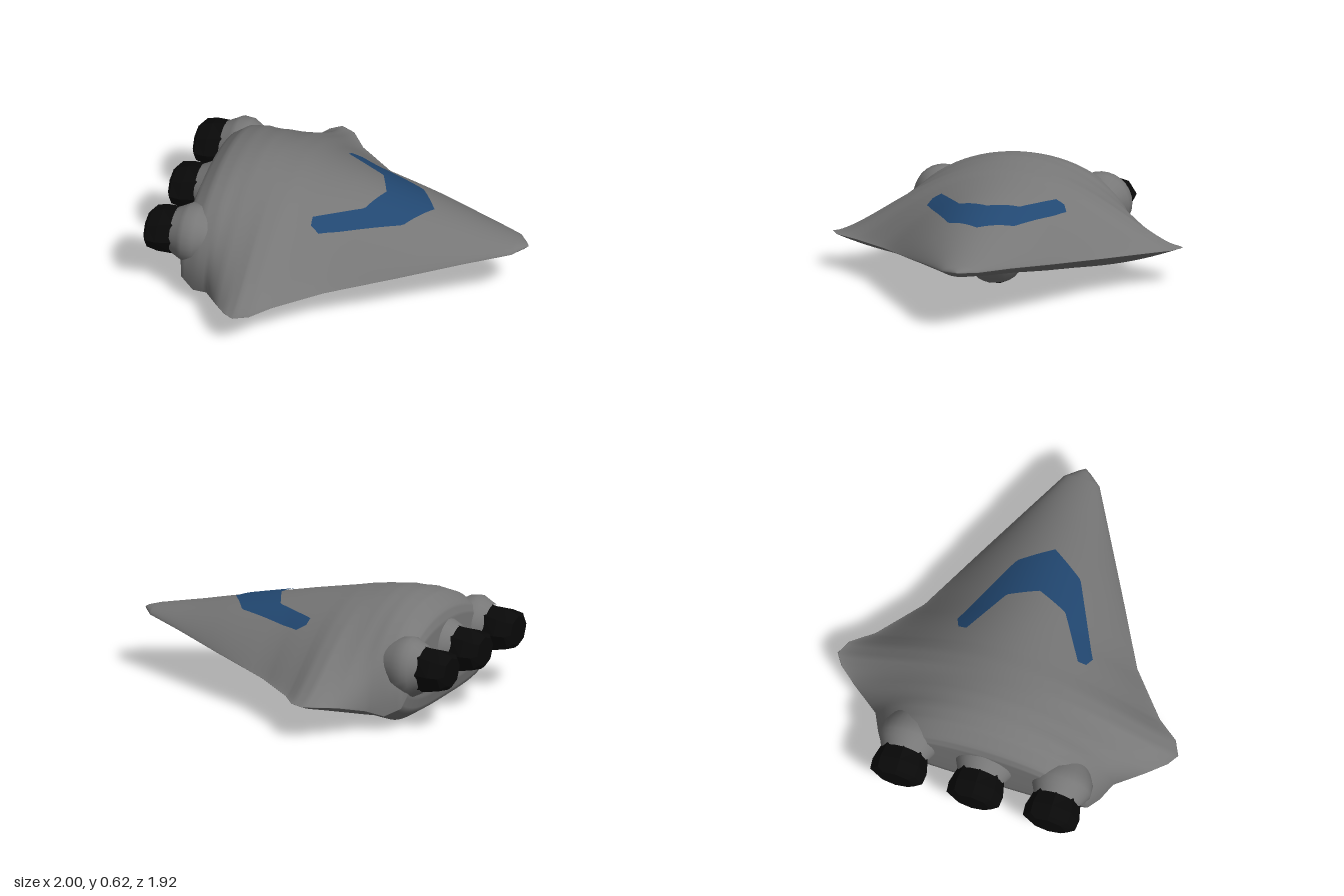
import * as THREE from 'three';

const hullGrey = new THREE.MeshStandardMaterial({ color: 0x777777 });
const windowBlue = new THREE.MeshStandardMaterial({ color: 0x224872 });
const engineBlack = new THREE.MeshStandardMaterial({ color: 0x090909 });

// Hull stations: x, half width, top y, bottom y, edge y, top exponent, bottom exponent
const STATIONS = [
  [-0.79, 0.53, 0.47, 0.13, 0.20, 0.42, 4],
  [-0.77, 0.58, 0.53, 0.05, 0.13, 0.42, 4],
  [-0.69, 0.625, 0.595, 0.0, 0.09, 0.43, 4],
  [-0.60, 0.67, 0.615, 0.01, 0.12, 0.56, 3.5],
  [-0.50, 0.82, 0.62, 0.022, 0.165, 1.1, 3],
  [-0.42, 0.92, 0.612, 0.033, 0.185, 1.5, 2.6],
  [-0.36, 0.96, 0.603, 0.043, 0.19, 1.55, 2.5],
  [-0.28, 0.92, 0.592, 0.055, 0.19, 1.5, 2.5],
  [-0.19, 0.80, 0.575, 0.07, 0.19, 1.35, 2.5],
  [0.04, 0.60, 0.535, 0.11, 0.205, 1.15, 2.5],
  [0.40, 0.40, 0.46, 0.185, 0.25, 0.9, 2.5],
  [0.70, 0.23, 0.395, 0.24, 0.29, 0.8, 2.5],
  [0.93, 0.10, 0.35, 0.288, 0.315, 0.6, 2.2],
  [0.98, 0.035, 0.338, 0.308, 0.322, 0.6, 2],
  [1.00, 0.004, 0.328, 0.322, 0.325, 0.6, 2],
];

function stationAt(x) {
  let i = 0;
  while (i < STATIONS.length - 2 && x > STATIONS[i + 1][0]) i++;
  const a = STATIONS[i], b = STATIONS[i + 1];
  const k = (x - a[0]) / (b[0] - a[0]);
  return a.map((v, n) => v + (b[n] - v) * k);
}

// Height of the upper or lower skin at a fraction t of the half width
function skinY([, , top, bottom, edge, p, q], t, upper) {
  const m = Math.min(1, Math.abs(t));
  return upper
    ? edge + (top - edge) * Math.pow(1 - m * m, p)
    : edge + (bottom - edge) * (1 - Math.pow(m, q));
}

function indexedGeometry(pos, index) {
  const g = new THREE.BufferGeometry();
  g.setAttribute('position', new THREE.Float32BufferAttribute(pos, 3));
  g.setIndex(index);
  g.computeVertexNormals();
  return g;
}

// Closed skin through rings ordered from rear to front
function loft(rings) {
  const n = rings[0].length, pos = rings.flat(2), index = [];
  for (let i = 0; i < rings.length - 1; i++) {
    for (let j = 0; j < n; j++) {
      const a = i * n + j, b = i * n + (j + 1) % n;
      index.push(a, a + n, b, b, a + n, b + n);
    }
  }
  [0, rings.length - 1].forEach((r, end) => {
    const c = pos.length / 3, sum = [0, 0, 0];
    rings[r].forEach((p) => p.forEach((v, k) => { sum[k] += v / n; }));
    pos.push(...sum);
    for (let j = 0; j < n; j++) {
      const a = r * n + j, b = r * n + (j + 1) % n;
      if (end) index.push(c, b, a); else index.push(c, a, b);
    }
  });
  return indexedGeometry(pos, index);
}

function hullGeometry() {
  const rings = [], sub = 4, around = 72;
  for (let i = 0; i < STATIONS.length; i++) {
    for (let k = 0; k < (i < STATIONS.length - 1 ? sub : 1); k++) {
      const next = STATIONS[Math.min(i + 1, STATIONS.length - 1)][0];
      const s = stationAt(STATIONS[i][0] + (next - STATIONS[i][0]) * k / sub);
      const ring = [];
      for (let j = 0; j < around; j++) {
        const t = Math.cos(j / around * Math.PI * 2);
        ring.push([s[0], skinY(s, t, j <= around / 2), t * s[1]]);
      }
      rings.push(ring);
    }
  }
  return loft(rings);
}

// Chevron window following the upper skin: [z fraction, inner x, inner z, outer x, outer z]
function windowGeometry() {
  const keys = [[0, 0.20, 0, 0.47, 0], [0.45, 0.13, 0.165, 0.35, 0.18],
    [0.93, -0.115, 0.315, -0.03, 0.365], [1, -0.11, 0.36, -0.06, 0.382]];
  const pos = [], index = [], S = 56, V = 8;
  for (let i = 0; i <= S; i++) {
    const s = i / S * 2 - 1, m = Math.abs(s), sign = Math.sign(s);
    let k = 0;
    while (k < keys.length - 2 && m > keys[k + 1][0]) k++;
    const f = (m - keys[k][0]) / (keys[k + 1][0] - keys[k][0]);
    const [, xi, zi, xo, zo] = keys[k].map((v, n) => v + (keys[k + 1][n] - v) * f);
    for (let j = 0; j <= V; j++) {
      const x = xi + (xo - xi) * j / V, z = zi + (zo - zi) * j / V;
      const st = stationAt(x);
      pos.push(x, skinY(st, z / st[1], true) + 0.006, z * sign);
      if (i < S && j < V) {
        const a = i * (V + 1) + j, b = a + V + 1;
        index.push(a, b, a + 1, a + 1, b, b + 1);
      }
    }
  }
  return indexedGeometry(pos, index);
}

// Faceted engine nozzle: x, half height, half width
function nozzleGeometry() {
  const rings = [[-1, 0.08, 0.10], [-0.98, 0.097, 0.147], [-0.92, 0.115, 0.152], [-0.83, 0.13, 0.13]]
    .map(([x, h, w]) => Array.from({ length: 8 }, (_, j) => {
      const a = j / 8 * Math.PI * 2;
      return [x, h * Math.sin(a), w * Math.cos(a)];
    }));
  const g = loft(rings).toNonIndexed();
  g.computeVertexNormals();
  return g;
}

const lathe = (points) =>
  new THREE.LatheGeometry(points.map(([r, y]) => new THREE.Vector2(r, y)), 28);

export function createModel() {
  const model = new THREE.Group();
  const add = (name, geometry, material, x = 0, y = 0, z = 0) => {
    const mesh = new THREE.Mesh(geometry, material);
    mesh.name = name;
    mesh.position.set(x, y, z);
    model.add(mesh);
    return mesh;
  };

  add('hull', hullGeometry(), hullGrey);
  add('window', windowGeometry(), windowBlue);

  // Three engines in flared shrouds that sink into the stern
  const shroud = lathe([[0.125, -0.85], [0.135, -0.83], [0.15, -0.80], [0.167, -0.77], [0.162, -0.71], [0.11, -0.62]]);
  shroud.rotateZ(-Math.PI / 2);
  const nozzle = nozzleGeometry();
  for (const z of [-0.43, 0, 0.43]) {
    add('engineShroud', shroud, hullGrey, 0, 0.32, z);
    add('engineNozzle', nozzle, engineBlack, 0, 0.32, z);
  }

  // Belly blister with a dark hatch
  const blister = lathe([[0.001, 0], [0.07, 0], [0.11, 0.01], [0.14, 0.025], [0.18, 0.065], [0.22, 0.12]]);
  add('bellyBlister', blister, hullGrey, -0.05, 0.04, 0).scale.z = 0.75;
  const hatch = new THREE.CylinderGeometry(0.08, 0.08, 0.008, 6);
  add('bellyHatch', hatch, engineBlack, -0.07, 0.038, 0).scale.z = 0.8;
  return model;
}
